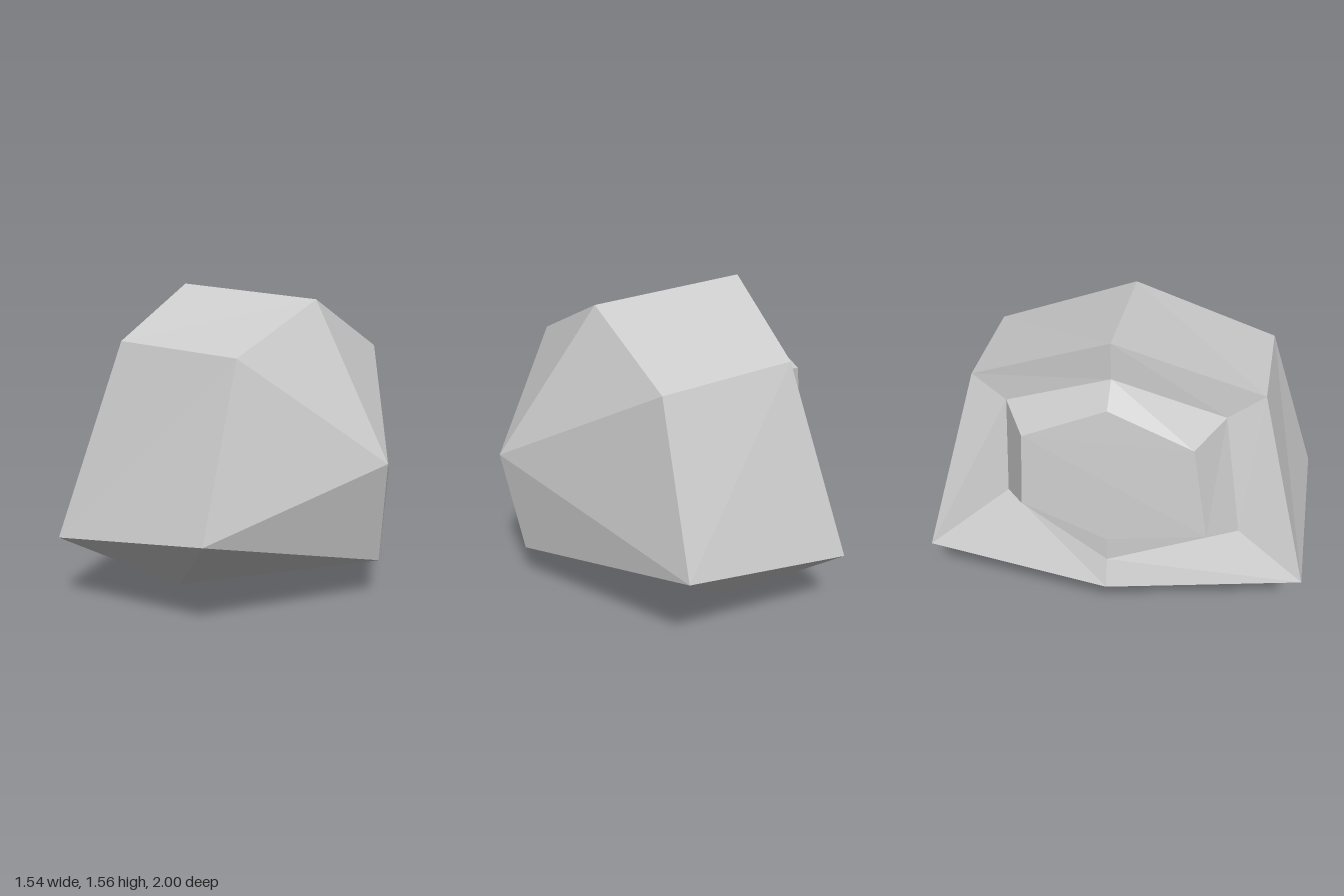
import * as THREE from 'three';

// Each ring runs: top, upper front, lower front, bottom, lower back, upper back
const ringA = [[0.29, 1.47, 0], [0.29, 1.21, 0.73], [0.29, 0.43, 1], [0.69, 0.19, 0.07], [0.29, 0.43, -1], [0.29, 1.21, -0.73]];
const ringB = [[-0.53, 1.56, 0], [-0.4, 1.27, 0.69], [-0.6, 0.33, 0.95], [-0.77, 0.33, 0], [-0.6, 0.33, -0.95], [-0.4, 1.27, -0.69]];
const ringC = [[-0.53, 1.38, 0], [-0.44, 1.165, 0.52], [-0.545, 0.58, 0.62], [-0.72, 0.47, 0], [-0.5, 0.665, -0.535], [-0.44, 1.165, -0.52]];
const ringD = [[-0.65, 1.29, 0], [-0.67, 1.13, 0.39], [-0.72, 0.68, 0.47], [-0.72, 0.6, 0], [-0.7, 0.76, -0.41], [-0.67, 1.13, -0.39]];
const apex = [0.77, 0.7, 0.17];
// Foot points: front, middle, back
const foot = [[-0.2, 0.04, 0.53], [-0.28, 0.01, 0], [-0.2, 0, -0.54]];

// Fan of triangles around the first corner
function addFace(out, ...corners) {
  for (let i = 1; i < corners.length - 1; i++) out.push(...corners[0], ...corners[i], ...corners[i + 1]);
}

// Quads between two rings, for the chosen sides
function bridge(out, r, s, sides = [0, 1, 2, 3, 4, 5]) {
  for (const i of sides) {
    const j = (i + 1) % 6;
    addFace(out, r[i], s[i], s[j], r[j]);
  }
}

function makeMesh(name, positions) {
  const geometry = new THREE.BufferGeometry();
  geometry.setAttribute('position', new THREE.Float32BufferAttribute(positions, 3));
  geometry.computeVertexNormals();
  const mesh = new THREE.Mesh(geometry, new THREE.MeshStandardMaterial({ color: 0xcccccc, flatShading: true }));
  mesh.name = name;
  return mesh;
}

export function createModel() {
  const group = new THREE.Group();
  group.name = 'rock';

  // Main body: upper sides, rim of the left side, pointed right side
  const body = [];
  bridge(body, ringA, ringB, [0, 1, 4, 5]);
  bridge(body, ringB, ringC);
  for (let i = 0; i < 6; i++) addFace(body, ringA[i], ringA[(i + 1) % 6], apex);
  group.add(makeMesh('rockBody', body));

  // Underside facets meeting at the foot points
  const under = [];
  const [front, middle, back] = foot;
  addFace(under, ringA[2], ringB[2], front);
  addFace(under, ringA[2], front, ringA[3]);
  addFace(under, ringA[3], front, middle);
  addFace(under, ringB[2], ringB[3], middle, front);
  addFace(under, ringB[3], ringB[4], back, middle);
  addFace(under, ringA[3], middle, back);
  addFace(under, ringA[3], back, ringA[4]);
  addFace(under, ringA[4], back, ringB[4]);
  group.add(makeMesh('rockUnderside', under));

  // Raised facet on the left side
  const bump = [];
  bridge(bump, ringC, ringD);
  addFace(bump, ...ringD.slice().reverse());
  group.add(makeMesh('raisedFacet', bump));

  return group;
}
